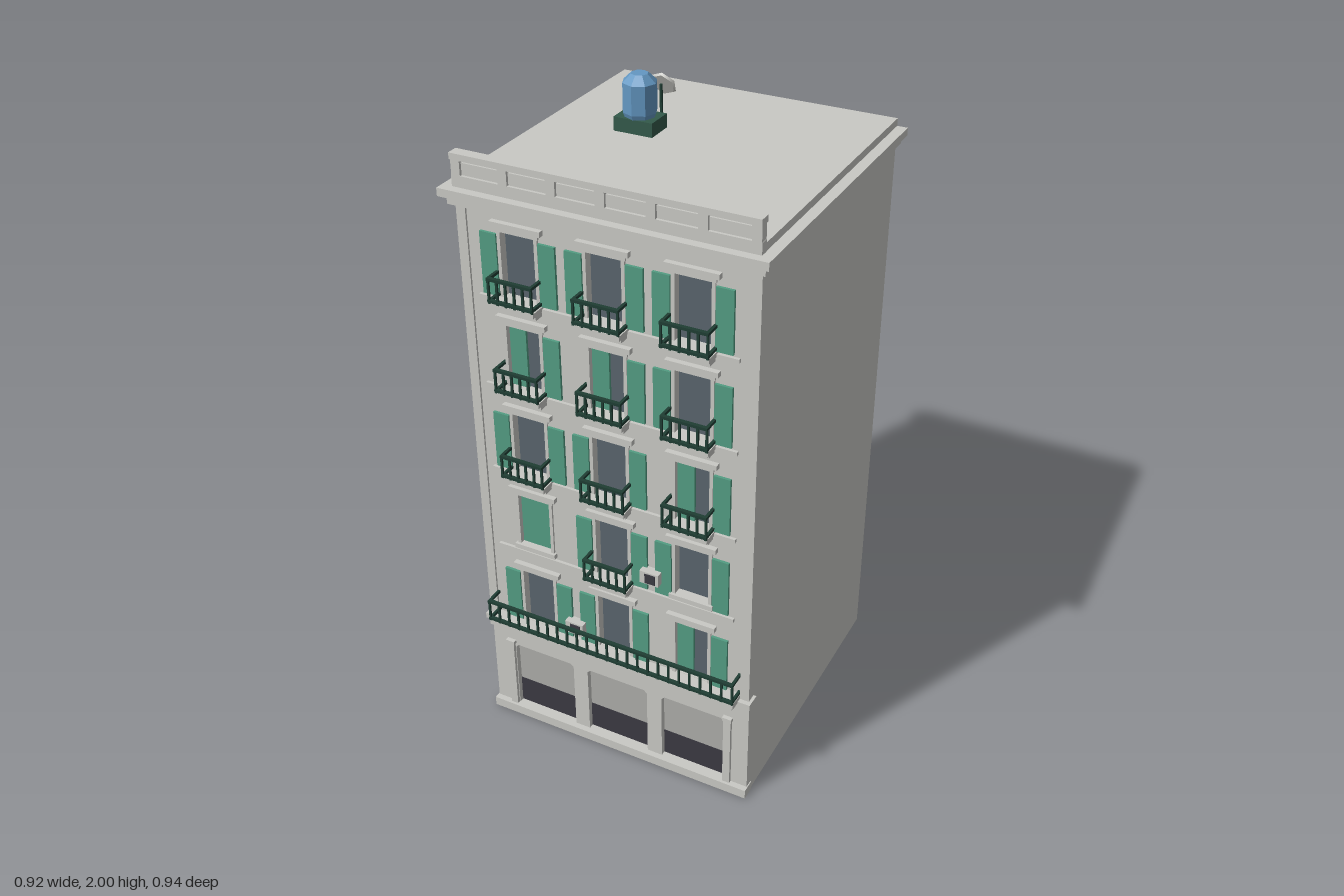
import * as THREE from 'three';

const mat = (name, color, side = THREE.FrontSide) => {
  const m = new THREE.MeshStandardMaterial({ color, side });
  m.name = name;
  return m;
};

export function createModel() {
  const stone = mat('stone', 0xc9c9c4);
  const green = mat('shutter green', 0x539c82);
  const glass = mat('window glass', 0x59646c);
  const iron = mat('balcony iron', 0x1f3d33);
  const roller = mat('roller shutter grey', 0xabaca8);
  const dark = mat('shop dark', 0x3b3a42);
  const standGreen = mat('stand green', 0x33594a);
  const blue = mat('tank blue', 0x6397c2);
  blue.flatShading = true;

  const model = new THREE.Group();
  model.name = 'apartmentBuilding';

  // Box given by its limits on each axis
  const box = (name, m, x0, x1, y0, y1, z0, z1, parent = model) => {
    const mesh = new THREE.Mesh(new THREE.BoxGeometry(x1 - x0, y1 - y0, z1 - z0), m);
    mesh.position.set((x0 + x1) / 2, (y0 + y1) / 2, (z0 + z1) / 2);
    mesh.name = name;
    parent.add(mesh);
    return mesh;
  };
  const group = (name) => {
    const g = new THREE.Group();
    g.name = name;
    model.add(g);
    return g;
  };

  const BACK = -0.47, INNER = 0.385, WALL = 0.41, OUT = 0.467;
  const columns = [-0.25, 0, 0.247];
  const floors = [0.385, 0.655, 0.925, 1.2, 1.47];
  const winW = 0.05, winH = 0.185;
  const shops = [[-0.35, -0.148], [-0.1, 0.1], [0.148, 0.35]];

  // Body and pierced facade
  box('body', stone, -0.427, 0.427, 0, 1.78, BACK, INNER);
  const rect = (Type, x0, x1, y0, y1) => {
    const s = new Type();
    s.moveTo(x0, y0).lineTo(x1, y0).lineTo(x1, y1).lineTo(x0, y1).closePath();
    return s;
  };
  const facadeShape = rect(THREE.Shape, -0.427, 0.427, 0, 1.78);
  for (const y of floors) for (const x of columns)
    facadeShape.holes.push(rect(THREE.Path, x - winW, x + winW, y, y + winH));
  for (const [x0, x1] of shops) {
    const h = new THREE.Path();
    h.moveTo(x0, 0.03).lineTo(x1, 0.03).lineTo(x1, 0.255).lineTo(x1 - 0.01, 0.265)
      .lineTo(x0 + 0.01, 0.265).lineTo(x0, 0.255).closePath();
    facadeShape.holes.push(h);
  }
  const facade = new THREE.Mesh(
    new THREE.ExtrudeGeometry(facadeShape, { depth: WALL - INNER, bevelEnabled: false }), stone);
  facade.position.z = INNER;
  facade.name = 'facade';
  model.add(facade);

  // Corner strips, plinth and first floor ledge
  for (const s of [-1, 1]) {
    const [a, b] = s < 0 ? [-0.428, -0.4] : [0.4, 0.428];
    box('cornerStrip', stone, a, b, 0.37, 1.71, INNER, WALL + 0.006);
    const [c, d] = s < 0 ? [-0.375, -0.352] : [0.352, 0.375];
    box('shopPilaster', stone, c, d, 0.03, 0.27, WALL - 0.01, WALL + 0.01);
    box('pilasterCap', stone, c - 0.003, d + 0.003, 0.27, 0.282, WALL - 0.01, WALL + 0.013);
  }
  box('plinth', stone, -0.43, 0.43, 0, 0.03, INNER, 0.428);
  box('ledge', stone, -0.437, 0.437, 0.352, 0.37, INNER, 0.43);

  // Shop fronts
  for (const [x0, x1] of shops) {
    box('rollerShutter', roller, x0, x1, 0.12, 0.265, INNER, INNER + 0.008);
    box('shopPanel', dark, x0, x1, 0.03, 0.12, INNER, INNER + 0.009);
  }

  // Cornice and parapet
  box('corniceLower', stone, -0.442, 0.442, 1.71, 1.735, BACK, 0.432);
  box('corniceUpper', stone, -0.458, 0.458, 1.735, 1.758, BACK, 0.45);
  const parapet = group('parapet');
  box('bottomRail', stone, -0.428, 0.428, 1.757, 1.79, 0.399, 0.424, parapet);
  box('topRail', stone, -0.428, 0.428, 1.832, 1.85, 0.395, 0.428, parapet);
  for (let i = 0; i < 7; i++) {
    const x = -0.414 + i * 0.138;
    box('post', stone, x - 0.013, x + 0.013, 1.78, 1.84, 0.399, 0.424, parapet);
  }
  box('panel', stone, -0.42, 0.42, 1.78, 1.823, 0.407, 0.416, parapet);

  // Railing on three sides with evenly spaced bars
  const railing = (x0, x1, y, bars) => {
    const g = group('balconyRailing');
    const t = 0.008, z0 = OUT - t;
    for (const h of [0.004, 0.067]) {
      box('frontRail', iron, x0, x1, y + h, y + h + t, z0 - 0.003, OUT, g);
      for (const x of [x0, x1 - t]) box('sideRail', iron, x, x + t, y + h, y + h + t, WALL, z0, g);
    }
    for (let i = 0; i <= bars; i++) {
      const x = x0 + ((x1 - x0 - 0.006) * i) / bars;
      box('bar', iron, x, x + 0.006, y, y + 0.07, z0, OUT - 0.002, g);
    }
  };

  // Shutter positions per floor and column: o open, c closed over that half
  const shutters = [
    ['oo', 'oo', 'co'],
    ['cc', 'oo', 'oo'],
    ['oo', 'oo', 'co'],
    ['co', 'co', 'oo'],
    ['oo', 'oo', 'oo'],
  ];

  floors.forEach((y, f) => {
    if (f > 0) box('stringCourse', stone, -0.375, 0.375, y - 0.017, y - 0.006, INNER, WALL + 0.009);
    columns.forEach((x, c) => {
      box('windowGlass', glass, x - winW, x + winW, y, y + winH, INNER, INNER + 0.006);
      // Raised surround and lintel
      for (const s of [-1, 1]) {
        const cx = x + s * (winW + 0.005);
        box('windowJamb', stone, cx - 0.005, cx + 0.005, y, y + winH + 0.01, WALL - 0.005, WALL + 0.006);
      }
      box('windowHead', stone, x - 0.062, x + 0.062, y + winH, y + winH + 0.018, WALL - 0.005, WALL + 0.006);
      box('lintel', stone, x - 0.075, x + 0.075, y + 0.2, y + 0.215, WALL - 0.005, WALL + 0.016);
      // Shutters
      [-1, 1].forEach((s, i) => {
        const closed = shutters[f][c][i] === 'c';
        const a = x + s * (closed ? 0 : 0.062), b = x + s * (closed ? winW : 0.111);
        const z = closed ? INNER + 0.008 : WALL;
        box('shutter', green, Math.min(a, b), Math.max(a, b), y, y + 0.177, z, z + 0.008);
      });
      // Single balconies, or a sill where there is none
      if (f === 0) return;
      if (f === 1 && c !== 1) {
        box('sill', stone, x - 0.066, x + 0.066, y + 0.002, y + 0.017, INNER, WALL + 0.014);
        return;
      }
      railing(x - 0.067, x + 0.067, y, 5);
      box('balconySlab', stone, x - 0.067, x + 0.067, y - 0.014, y, WALL - 0.01, 0.462);
      box('slabSupport', stone, x - 0.06, x + 0.06, y - 0.032, y - 0.014, WALL - 0.01, 0.44);
    });
  });

  // Long first floor balcony
  railing(-0.4, 0.4, 0.383, 24);
  box('longBalconySlab', stone, -0.4, 0.4, 0.366, 0.384, WALL - 0.01, 0.462);
  box('longSlabSupport', stone, -0.388, 0.388, 0.345, 0.366, WALL - 0.01, 0.448);

  // Air conditioners
  for (const [x, y] of [[0.127, 0.712], [-0.122, 0.437]]) {
    box('airConditioner', stone, x - 0.029, x + 0.029, y - 0.02, y + 0.02, WALL, 0.438);
    box('airConditionerFan', dark, x - 0.012, x + 0.02, y - 0.015, y + 0.015, 0.436, 0.441);
  }

  // Water tank on its stand
  box('tankStand', standGreen, -0.133, -0.022, 1.85, 1.888, 0.034, 0.115);
  const profile = [[0, 1.885], [0.04, 1.885], [0.046, 1.9], [0.046, 1.978], [0.023, 2], [0, 2]];
  const tank = new THREE.Mesh(
    new THREE.LatheGeometry(profile.map(([r, y]) => new THREE.Vector2(r, y)), 8), blue);
  tank.position.set(-0.077, 0, 0.075);
  tank.name = 'waterTank';
  model.add(tank);

  // Tilted dish on a pole
  box('dishPole', iron, -0.071, -0.065, 1.85, 1.94, -0.026, -0.02);
  const dish = new THREE.Mesh(new THREE.CylinderGeometry(0.038, 0.034, 0.006, 6), stone);
  dish.position.set(-0.068, 1.937, -0.034);
  dish.rotation.set(-1.1, 0.12, 0);
  dish.name = 'dish';
  model.add(dish);

  return model;
}
